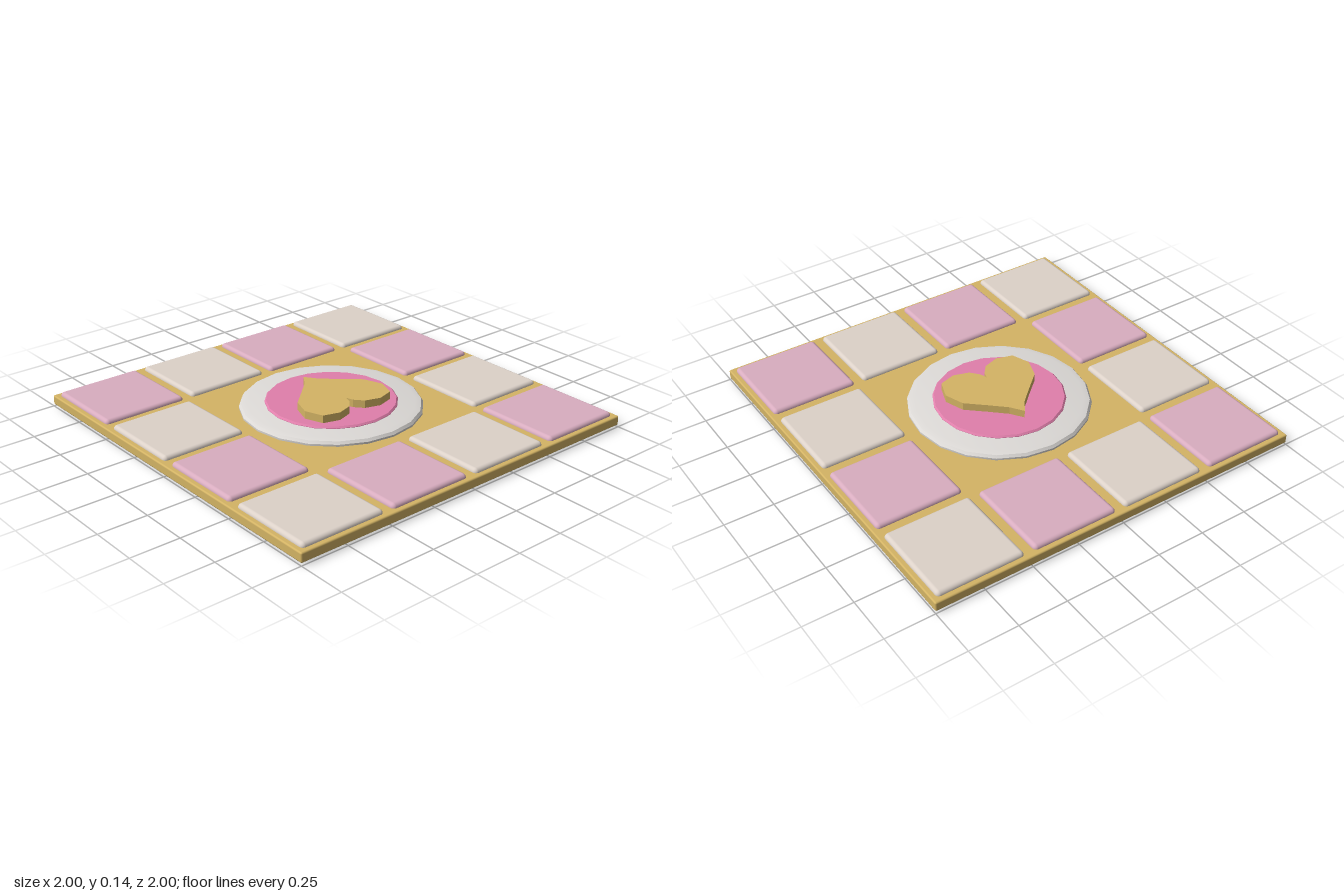
import * as THREE from 'three';
import { toCreasedNormals } from 'three/addons/utils/BufferGeometryUtils.js';
import { RoundedBoxGeometry } from 'three/addons/geometries/RoundedBoxGeometry.js';

const paint = (color) => new THREE.MeshStandardMaterial({ color });
const gold = paint(0xd4b465);
const pinkTile = paint(0xd9adc0);
const creamTile = paint(0xddd2c9);
const white = paint(0xdddad7);
const rose = paint(0xe07fab);

function part(name, geometry, material, x = 0, y = 0, z = 0) {
  const mesh = new THREE.Mesh(geometry, material);
  mesh.name = name;
  mesh.position.set(x, y, z);
  return mesh;
}

// Twenty-sided disc turned from a [radius, height] profile, bottom to top
function disc(profile) {
  const points = profile.map(([r, y]) => new THREE.Vector2(r, y));
  return toCreasedNormals(new THREE.LatheGeometry(points, 20), 0.6);
}

// Right half of the heart outline, from the tip round to the notch
function heartGeometry() {
  const half = [[0, 0.22], [0.045, 0.155], [0.12, 0.085], [0.215, 0], [0.25, -0.1],
    [0.215, -0.195], [0.13, -0.22], [0.05, -0.195], [0.012, -0.15], [0, -0.11]];
  const mirrored = half.slice(1, -1).reverse().map(([x, y]) => [-x, y]);
  const shape = new THREE.Shape([...half, ...mirrored].map(([x, y]) => new THREE.Vector2(x, y)));
  const geometry = new THREE.ExtrudeGeometry(shape, { depth: 0.05, bevelEnabled: false });
  return geometry.rotateX(-Math.PI / 2);
}

export function createModel() {
  const model = new THREE.Group();
  model.name = 'tiledPlate';

  // Square base plate
  model.add(part('basePlate', new RoundedBoxGeometry(2, 0.05, 2, 2, 0.008), gold, 0, 0.035, 0));

  // Ring of alternating tiles around the border of a 4 x 4 grid
  const tiles = new THREE.Group();
  tiles.name = 'borderTiles';
  const tile = new RoundedBoxGeometry(0.45, 0.05, 0.45, 3, 0.02);
  for (let row = 0; row < 4; row++) {
    for (let col = 0; col < 4; col++) {
      const inner = row % 3 !== 0 && col % 3 !== 0;
      if (inner) continue;
      const material = (row + col) % 2 === 0 ? pinkTile : creamTile;
      tiles.add(part('tile', tile, material, -0.75 + col * 0.5, 0.055, -0.75 + row * 0.5));
    }
  }
  model.add(tiles);

  // Stepped central button
  model.add(part('outerDisc', disc([[0, 0.011], [0.42, 0.011], [0.45, 0.025], [0.46, 0.045],
    [0.46, 0.07], [0.45, 0.083], [0.42, 0.09], [0, 0.09]]), white));
  model.add(part('innerDisc', disc([[0, 0], [0.32, 0], [0.333, 0.008], [0.333, 0.092],
    [0.325, 0.1], [0, 0.1]]), rose));

  // Raised heart, tip towards the back
  model.add(part('heart', heartGeometry(), gold, 0, 0.09, 0));

  return model;
}
